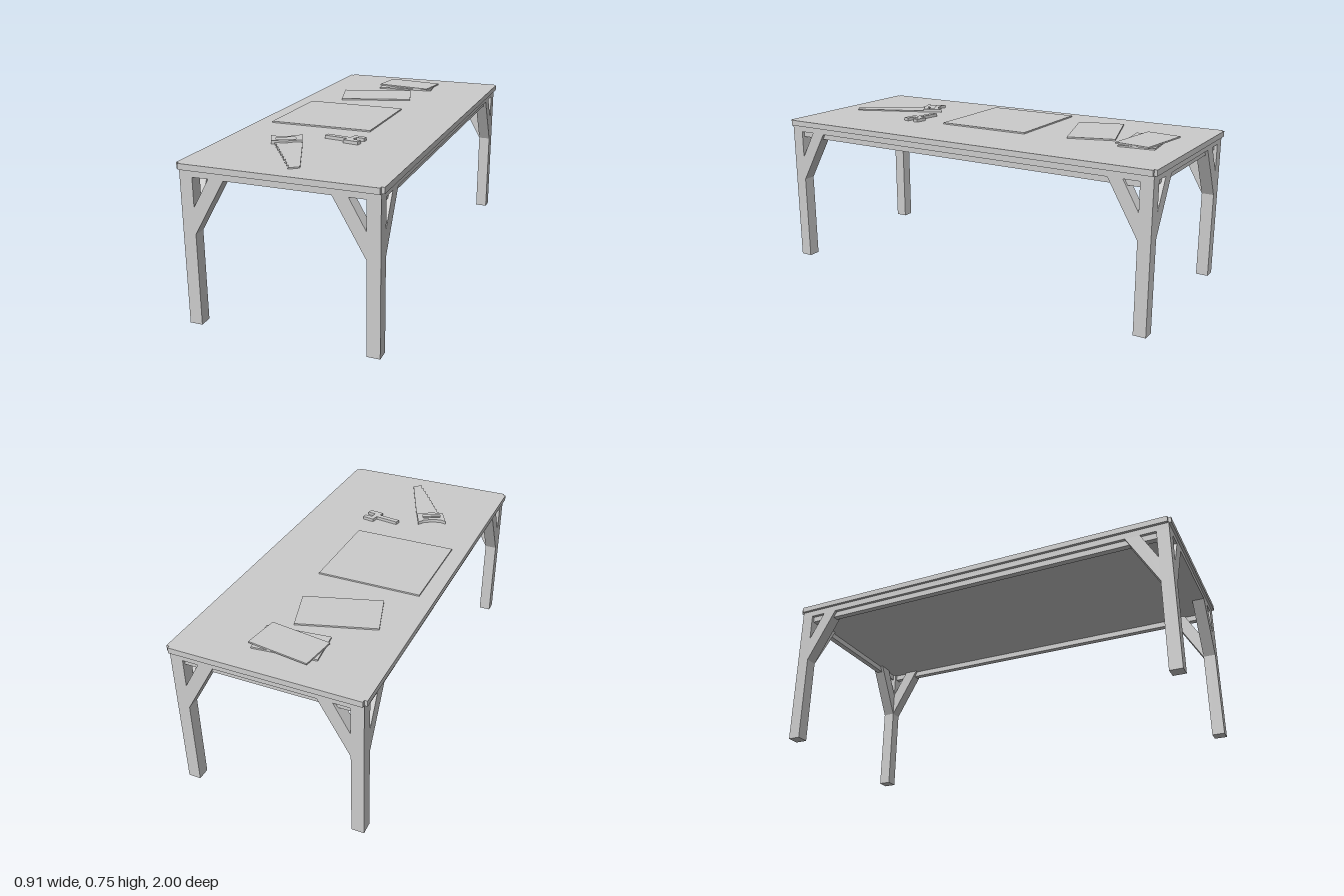
import * as THREE from 'three';

const material = new THREE.MeshStandardMaterial({ color: 0xcccccc, flatShading: true });

export function createModel() {
  const table = new THREE.Group();
  table.name = 'workTable';

  const add = (name, geometry, parent = table) => {
    const mesh = new THREE.Mesh(geometry, material);
    mesh.name = name;
    parent.add(mesh);
    return mesh;
  };

  // Box given by its extents
  const box = (name, x0, x1, y0, y1, z0, z1, parent) =>
    add(name, new THREE.BoxGeometry(x1 - x0, y1 - y0, z1 - z0)
      .translate((x0 + x1) / 2, (y0 + y1) / 2, (z0 + z1) / 2), parent);

  // Flat piece from an outline in (x, z), between two heights
  const flat = (name, outline, y0, y1, parent, hole) => {
    const toPoints = (list) => list.map(([x, z]) => new THREE.Vector2(x, -z));
    const shape = new THREE.Shape(toPoints(outline));
    if (hole) shape.holes.push(new THREE.Path(toPoints(hole)));
    const geometry = new THREE.ExtrudeGeometry(shape, { depth: y1 - y0, bevelEnabled: false });
    return add(name, geometry.rotateX(-Math.PI / 2).translate(0, y0, 0), parent);
  };

  const W = 0.455, L = 1, notch = 0.014;
  const TOP = 0.735, UNDER = 0.708, BASE = 0.678, LOW = 0.65;
  const legX = 0.442, legZ = 0.988, T = 0.059;
  const inX = legX - T, inZ = legZ - T;

  // Table top with a small notch in each corner
  const a = W - notch, b = L - notch;
  flat('tableTop', [
    [-a, L], [a, L], [a, b], [W, b], [W, -b], [a, -b],
    [a, -L], [-a, -L], [-a, -b], [-W, -b], [-W, b], [-a, b],
  ], UNDER, TOP);

  // Solid board under the top, flush with the legs
  box('underBoard', -legX, legX, BASE, UNDER, -legZ, legZ);

  // Diagonal brace, leaning inward from the leg face at distance "start"
  const braceGeometry = (start, side) => {
    const points = [[0, 0.425], [0, 0.545], [0.075, BASE], [0.145, BASE]]
      .map(([d, y]) => new THREE.Vector2(side * (start - d), y));
    return new THREE.ExtrudeGeometry(new THREE.Shape(points), { depth: T, bevelEnabled: false })
      .translate(0, 0, -T / 2);
  };

  // Legs, each with two braces
  for (const sx of [-1, 1]) {
    for (const sz of [-1, 1]) {
      const corner = new THREE.Group();
      corner.name = `${sz > 0 ? 'front' : 'back'}${sx > 0 ? 'Left' : 'Right'}Corner`;
      table.add(corner);
      const cx = sx * (legX - T / 2), cz = sz * (legZ - T / 2);
      box('leg', cx - T / 2, cx + T / 2, 0, BASE, cz - T / 2, cz + T / 2, corner);
      add('endBrace', braceGeometry(inX, sx).translate(0, 0, cz), corner);
      add('sideBrace', braceGeometry(inZ, sz).rotateY(-Math.PI / 2).translate(cx, 0, 0), corner);
    }
  }

  // Thin rails below the board, running between the legs
  const R = 0.015;
  for (const s of [-1, 1]) {
    const cx = s * (legX - T / 2);
    box(s > 0 ? 'leftRail' : 'rightRail', cx - R, cx + R, LOW, BASE, -inZ, inZ);
  }
  const railZ = -(legZ - T / 2);
  box('backRail', -inX, inX, LOW, BASE, railZ - R, railZ + R);

  // Loose sheets: x, z, width, depth, bottom, top, turn
  const sheets = [
    ['largeSheet', -0.125, 0.026, 0.505, 0.47, TOP, 0.742, 0],
    ['mediumSheet', -0.105, -0.478, 0.37, 0.225, TOP, 0.742, 0.3],
    ['lowerSmallSheet', -0.015, -0.765, 0.295, 0.17, TOP, 0.742, 0.1],
    ['upperSmallSheet', -0.012, -0.78, 0.295, 0.17, 0.743, 0.75, -0.14],
  ];
  for (const [name, x, z, w, d, y0, y1, turn] of sheets) {
    const sheet = box(name, -w / 2, w / 2, y0, y1, -d / 2, d / 2);
    sheet.position.set(x, 0, z);
    sheet.rotation.y = turn;
  }

  // Hand saw: toothed blade and a handle with a grip hole
  const saw = new THREE.Group();
  saw.name = 'handSaw';
  table.add(saw);
  const blade = [[-0.1, 0.53], [-0.075, 0.57], [0.057, 0.88], [0.017, 0.912]];
  const TEETH = 9;
  for (let i = 0; i < TEETH; i++) {
    const t = 1 - (i + 1) / TEETH;
    const x = -0.186 + 0.203 * t, z = 0.62 + 0.29 * t;
    blade.push([x + 0.008, z - 0.004], [x, z]);
  }
  blade.push([-0.205, 0.585]);
  flat('sawBlade', blade, TOP, 0.741, saw);
  flat('sawHandle', [
    [-0.257, 0.517], [-0.225, 0.524], [-0.18, 0.51], [-0.145, 0.485], [-0.128, 0.455],
    [-0.088, 0.545], [-0.125, 0.565], [-0.15, 0.588], [-0.18, 0.594], [-0.212, 0.604],
  ], TOP, 0.75, saw, [
    [-0.216, 0.547], [-0.175, 0.532], [-0.138, 0.507], [-0.122, 0.538], [-0.155, 0.562], [-0.205, 0.576],
  ]);

  // Hammer with a forked head
  flat('hammer', [
    [-0.027, 0.434], [-0.022, 0.408], [0.096, 0.426], [0.104, 0.39], [0.163, 0.4], [0.16, 0.425],
    [0.122, 0.421], [0.117, 0.453], [0.158, 0.46], [0.152, 0.487], [0.08, 0.476], [0.087, 0.45],
  ], TOP, 0.75);

  return table;
}
